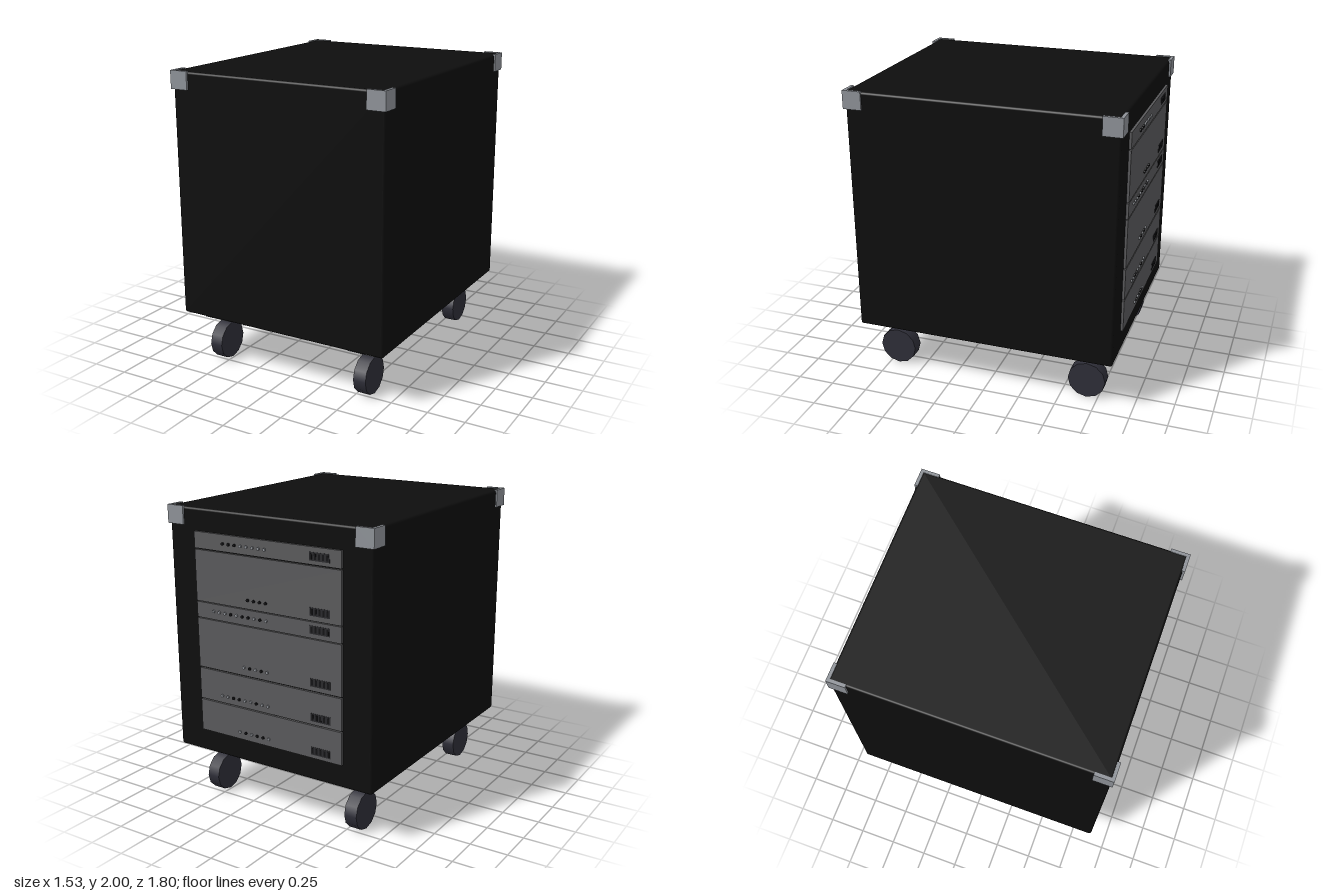
import * as THREE from 'three';
import { RoundedBoxGeometry } from 'three/addons/geometries/RoundedBoxGeometry.js';

const material = (name, color) => {
  const m = new THREE.MeshStandardMaterial({ color });
  m.name = name;
  return m;
};

export function createModel() {
  const black = material('case black', 0x0d0d0d);
  const metal = material('metal grey', 0x8e9298);
  const panelGrey = material('panel grey', 0x5a5a5c);
  const rubber = material('wheel rubber', 0x2e2e38);
  const ventDark = material('vent dark', 0x29292c);
  const knobDark = material('knob dark', 0x121214);

  const model = new THREE.Group();
  model.name = 'rackCase';

  const add = (parent, name, geometry, mat, x, y, z) => {
    const mesh = new THREE.Mesh(geometry, mat);
    mesh.name = name;
    mesh.position.set(x, y, z);
    parent.add(mesh);
    return mesh;
  };
  // Box given by its limits on each axis
  const addBox = (parent, name, mat, [x0, x1], [y0, y1], [z0, z1]) =>
    add(parent, name, new THREE.BoxGeometry(x1 - x0, y1 - y0, z1 - z0), mat,
      (x0 + x1) / 2, (y0 + y1) / 2, (z0 + z1) / 2);

  // Case with softly rounded edges
  add(model, 'caseBody', new RoundedBoxGeometry(1.51, 1.64, 1.76, 2, 0.015), black, 0, 1.175, 0.005);

  // L-shaped corner guards around the four upper corners
  const guardShape = new THREE.Shape([
    [0, 0], [0.125, 0], [0.125, 0.022], [0.022, 0.022], [0.022, 0.125], [0, 0.125],
  ].map(([x, y]) => new THREE.Vector2(x, y)));
  const guardGeometry = new THREE.ExtrudeGeometry(guardShape, { depth: 0.12, bevelEnabled: false });
  guardGeometry.rotateX(Math.PI / 2);
  [[-0.765, -0.887, 0], [-0.765, 0.9, 1], [0.765, 0.9, 2], [0.765, -0.887, 3]].forEach(([x, z, turn]) => {
    const guard = add(model, 'cornerGuard', guardGeometry, metal, x, 2, z);
    guard.rotation.y = turn * Math.PI / 2;
  });

  // Casters: mounting plate and twelve-sided wheel
  const wheelGeometry = new THREE.CylinderGeometry(0.127, 0.127, 0.088, 12);
  wheelGeometry.rotateZ(Math.PI / 2);
  const plateGeometry = new THREE.BoxGeometry(0.2, 0.055, 0.2);
  for (const x of [-0.555, 0.555]) {
    for (const z of [0.688, -0.672]) {
      const caster = new THREE.Group();
      caster.name = 'caster';
      caster.position.set(x, 0, z);
      add(caster, 'mountPlate', plateGeometry, metal, 0, 0.3325, 0);
      add(caster, 'wheel', wheelGeometry, rubber, 0, 0.127, 0);
      model.add(caster);
    }
  }

  // Rack units on the back: bottom, top, control height, knob count, dark knob pattern
  const units = [
    [1.743, 1.85, 1.793, 8, [5, 6, 7]],
    [1.4, 1.735, 1.457, 4, [0, 1, 2, 3]],
    [1.291, 1.394, 1.345, 10, [1, 3, 4, 6]],
    [0.955, 1.285, 1.01, 5, [1, 3]],
    [0.735, 0.946, 0.783, 9, [2, 5, 6]],
    [0.51, 0.727, 0.56, 6, [1, 2, 4]],
  ];
  const knobGeometry = new THREE.CylinderGeometry(0.01, 0.01, 0.016, 8);
  knobGeometry.rotateX(Math.PI / 2);
  for (const [bottom, top, y, count, dark] of units) {
    const unit = new THREE.Group();
    unit.name = 'rackUnit';
    addBox(unit, 'panel', panelGrey, [-0.55, 0.55], [bottom, top], [-0.891, -0.87]);
    // Control knobs in a row
    for (let i = 0; i < count; i++) {
      add(unit, 'knob', knobGeometry, dark.includes(i) ? knobDark : metal, i * 0.046, y, -0.892);
    }
    // Louvred vent
    addBox(unit, 'vent', ventDark, [-0.47, -0.325], [y - 0.026, y + 0.026], [-0.893, -0.889]);
    for (let i = 0; i < 5; i++) {
      const x = -0.455 + i * 0.029;
      addBox(unit, 'ventSlot', knobDark, [x - 0.007, x + 0.007], [y - 0.018, y + 0.018], [-0.8945, -0.892]);
    }
    model.add(unit);
  }

  return model;
}
